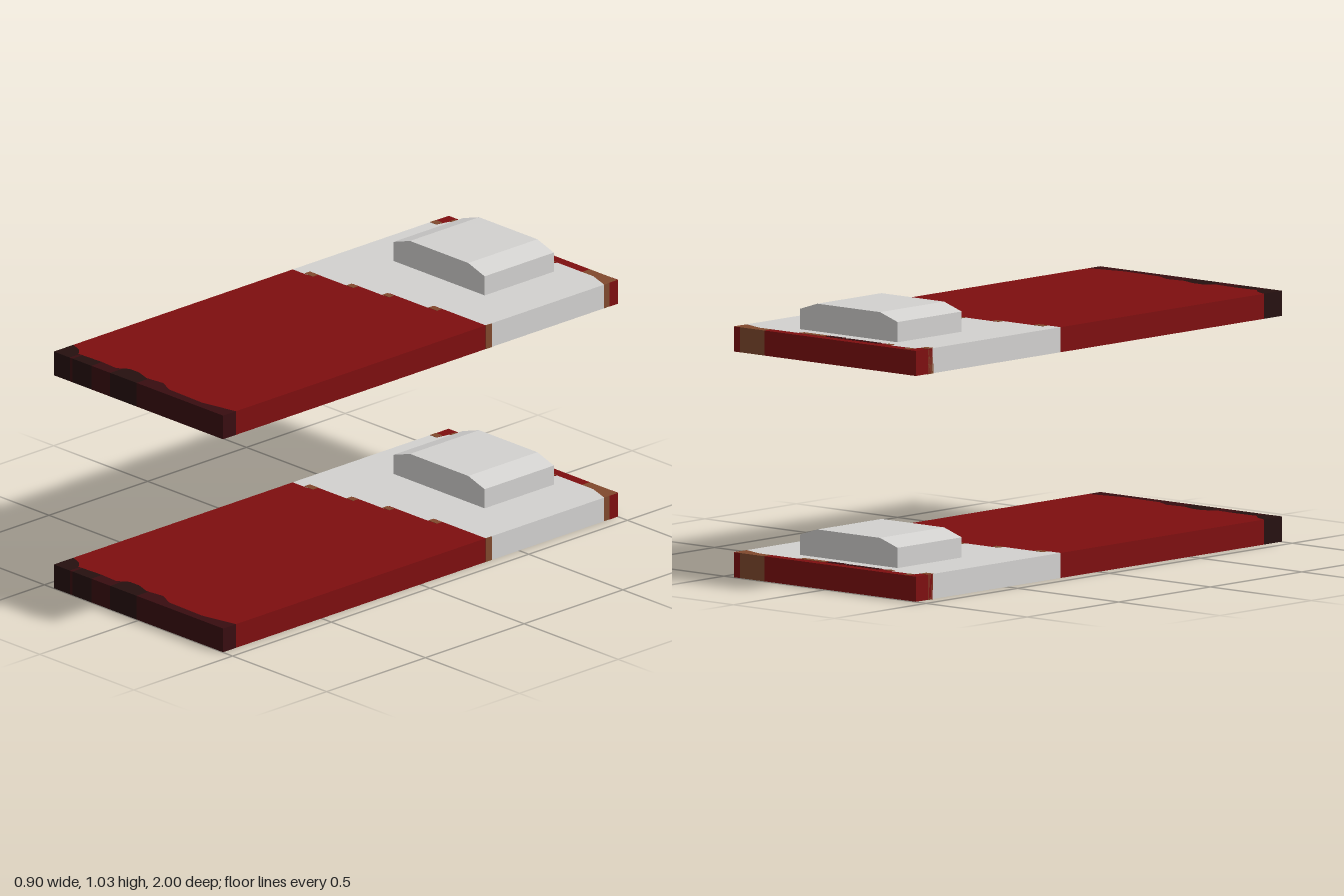
import * as THREE from 'three';

const mat = (name, color) => Object.assign(new THREE.MeshStandardMaterial({ color }), { name });

const W = 0.45, L = 1, H = 0.093;

// Plan-view colour borders across the bed, as [x, z] from right to left side
const footEdge = [[-W, 0.9], [-0.4, 0.92], [-0.37, 0.95], [-0.25, 0.945], [-0.17, 0.95], [-0.13, 0.92],
  [-0.08, 0.92], [-0.02, 0.94], [0.06, 0.93], [0.12, 0.96], [0.3, 0.965], [W, 0.935]];
const foldEdge = [[-W, -0.21], [-0.37, -0.21], [-0.37, -0.24], [-0.19, -0.24], [-0.19, -0.268],
  [-0.03, -0.268], [-0.03, -0.3], [0.175, -0.3], [0.175, -0.33], [W, -0.33]];
const headEdge = [[-W, -0.91], [-0.415, -0.91], [-0.405, -0.96], [-0.29, -0.96], [-0.28, -0.937], [-0.23, -0.945],
  [-0.13, -0.935], [-0.05, -0.945], [0.0, -0.935], [0.16, -0.937], [0.17, -0.96], [0.36, -0.96], [W, -0.93]];

// Part of a border between two x positions
function section(edge, x0, x1) {
  const at = (x) => {
    const i = Math.max(1, edge.findIndex((p) => p[0] >= x));
    const [a, b] = [edge[i - 1], edge[i]];
    return [x, a[1] + (b[1] - a[1]) * (x - a[0]) / (b[0] - a[0])];
  };
  return [at(x0), ...edge.filter((p) => p[0] > x0 && p[0] < x1), at(x1)];
}

// Upright slab over a plan polygon
function slab(name, points, material, height = H, lift = 0) {
  const shape = new THREE.Shape(points.map(([x, z]) => new THREE.Vector2(x, -z)));
  const geo = new THREE.ExtrudeGeometry(shape, { depth: height, bevelEnabled: false });
  geo.rotateX(-Math.PI / 2).translate(0, lift, 0);
  const mesh = new THREE.Mesh(geo, material);
  mesh.name = name;
  return mesh;
}

function createBed(m) {
  const bed = new THREE.Group();

  // Mattress: blanket and sheet
  bed.add(slab('blanket', [...footEdge, ...[...foldEdge].reverse()], m.red));
  bed.add(slab('sheet', [...foldEdge, ...[...headEdge].reverse()], m.sheet));

  // Dark foot end in strips of two shades
  const cuts = [-W, -0.365, -0.35, -0.25, -0.15, -0.01, W];
  const shades = [m.dark, m.maroon, m.dark, m.maroon, m.dark, m.maroon];
  shades.forEach((shade, i) => {
    const [a, b] = [cuts[i], cuts[i + 1]];
    bed.add(slab('footEnd', [[a, L], [b, L], ...section(footEdge, a, b).reverse()], shade));
  });

  // Head end with a brown corner
  bed.add(slab('headEnd', [...section(headEdge, -W, 0.3), [0.3, -L], [-W, -L]], m.red));
  bed.add(slab('headCorner', [...section(headEdge, 0.3, W), [W, -L], [0.3, -L]], m.brown));

  // Thin patches: [x0, x1, z0, z1, material], standing just proud of the slab
  const e = 0.001;
  const patches = [
    [-0.39, -0.345, -0.24, -0.212, m.brown], [-0.195, -0.16, -0.265, -0.24, m.brown],
    [-0.035, 0, -0.295, -0.27, m.brown], [0.175, 0.22, -0.327, -0.302, m.brown],
    [-W, -0.415, -0.935, -0.905, m.brown], [-0.405, -0.38, -0.99, -0.962, m.brown],
    [-0.29, -0.26, -0.957, -0.937, m.brown], [-0.23, -0.06, -0.962, -0.942, m.maroon],
    [-0.05, 0.03, -0.962, -0.937, m.maroon], [0.04, 0.16, -0.962, -0.937, m.brown],
  ];
  for (const [x0, x1, z0, z1, material] of patches) {
    bed.add(slab('patch', [[x0, z1], [x1, z1], [x1, z0], [x0, z0]], material, H + 2 * e, -e));
  }

  // Upright side strips by the fold and on the head corner
  const strips = [
    [W, -0.345, 0.002, 0.03, m.brown], [W, -0.978, 0.002, 0.044, m.red], [0.435, -L, 0.03, 0.002, m.red],
  ];
  for (const [x, z, w, d, material] of strips) {
    const strip = new THREE.Mesh(new THREE.BoxGeometry(w, H, d), material);
    strip.name = 'sideStrip';
    strip.position.set(x, H / 2, z);
    bed.add(strip);
  }

  // Pillow with sloped sides
  const profile = [[-0.257, H], [0.227, H], [0.227, 0.168], [0.14, 0.196], [-0.17, 0.196], [-0.257, 0.168]];
  const pillowShape = new THREE.Shape(profile.map(([x, y]) => new THREE.Vector2(x, y)));
  const pillow = new THREE.Mesh(
    new THREE.ExtrudeGeometry(pillowShape, { depth: 0.35, bevelEnabled: false }), m.sheet);
  pillow.name = 'pillow';
  pillow.position.z = -0.887;
  bed.add(pillow);
  return bed;
}

export function createModel() {
  const m = {
    red: mat('blanket red', 0x7d0e0f),
    sheet: mat('sheet grey', 0xd2d1cf),
    brown: mat('edge brown', 0x80492d),
    dark: mat('dark foot', 0x25100f),
    maroon: mat('maroon', 0x380d10),
  };
  const model = new THREE.Group();
  model.name = 'bunkBed';
  [['lowerBed', 0], ['upperBed', 0.837]].forEach(([name, y]) => {
    const bed = createBed(m);
    bed.name = name;
    bed.position.y = y;
    model.add(bed);
  });
  return model;
}
